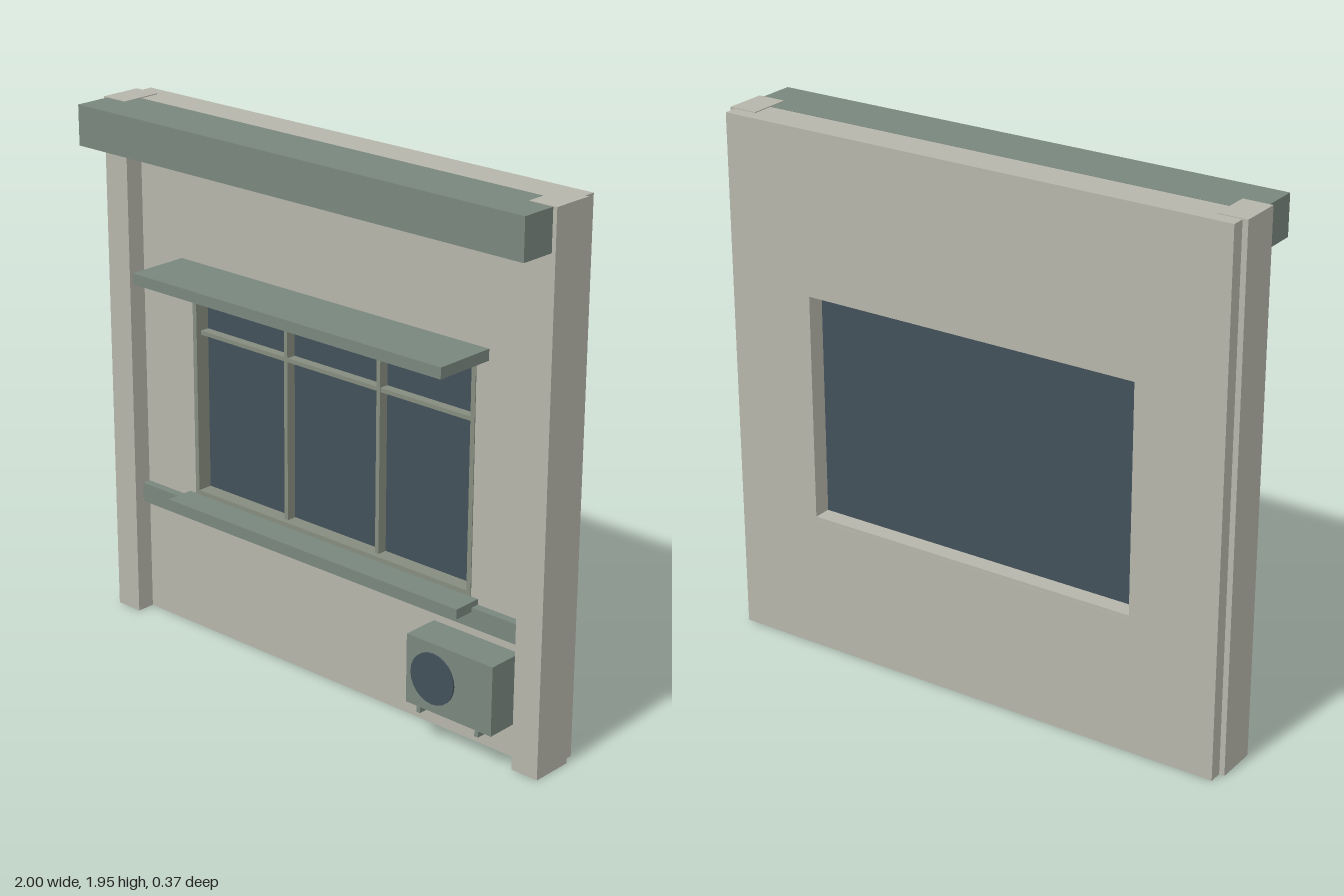
import * as THREE from 'three';

const material = (name, color) => {
  const m = new THREE.MeshStandardMaterial({ color });
  m.name = name;
  return m;
};

export function createModel() {
  const model = new THREE.Group();
  model.name = 'windowWallSection';
  const plaster = material('warm grey plaster', 0xb5b5aa);
  const trim = material('grey green trim', 0x78867d);
  const frame = material('pale frame', 0x858c7e);
  const dark = material('dark glass', 0x43505a);

  // Box given by its limits on each axis
  const box = (name, mat, [x0, x1], [y0, y1], [z0, z1], parent = model) => {
    const mesh = new THREE.Mesh(new THREE.BoxGeometry(x1 - x0, y1 - y0, z1 - z0), mat);
    mesh.position.set((x0 + x1) / 2, (y0 + y1) / 2, (z0 + z1) / 2);
    mesh.name = name;
    parent.add(mesh);
    return mesh;
  };

  // Wall panels around the window opening
  const wallZ = [-0.187, -0.05];
  box('lowerWall', plaster, [-0.98, 0.98], [0, 0.505], wallZ);
  box('upperWall', plaster, [-0.98, 0.98], [1.355, 1.95], wallZ);
  box('rightWall', plaster, [-0.98, -0.647], [0.505, 1.355], wallZ);
  box('leftWall', plaster, [0.647, 0.98], [0.505, 1.355], wallZ);

  // Side pillars
  box('rightPillar', plaster, [-1, -0.893], [0, 1.953], [-0.137, 0.02]);
  box('leftPillar', plaster, [0.893, 1], [0, 1.953], [-0.137, 0.02]);

  // Horizontal trim
  box('cornice', trim, [-0.985, 0.985], [1.805, 1.951], [-0.055, 0.155]);
  box('ledge', trim, [-0.893, 0.893], [0.435, 0.508], [-0.06, -0.018]);
  box('windowHood', trim, [-0.697, 0.697], [1.37, 1.41], [-0.055, 0.187]);
  box('windowSill', trim, [-0.677, 0.677], [0.492, 0.528], [-0.06, 0.06]);
  box('sillBase', plaster, [-0.647, 0.647], [0.5, 0.518], [-0.186, -0.06]);

  // Window: glass, surround, mullions and transom
  const win = new THREE.Group();
  win.name = 'window';
  model.add(win);
  const frameZ = [-0.115, -0.048];
  box('glass', dark, [-0.646, 0.646], [0.518, 1.355], [-0.12, -0.105], win);
  for (const s of [-1, 1]) {
    box('frameSide', frame, s < 0 ? [-0.646, -0.628] : [0.628, 0.646], [0.52, 1.354], frameZ, win);
    box('mullion', frame, [s * 0.213 - 0.008, s * 0.213 + 0.008], [0.54, 1.34], [-0.11, -0.068], win);
  }
  box('frameTop', frame, [-0.628, 0.628], [1.34, 1.354], frameZ, win);
  box('frameBottom', frame, [-0.628, 0.628], [0.52, 0.545], frameZ, win);
  box('transom', frame, [-0.628, 0.628], [1.136, 1.151], [-0.11, -0.07], win);

  // Air conditioner with fan disc and brackets
  const unit = new THREE.Group();
  unit.name = 'airConditioner';
  model.add(unit);
  box('casing', trim, [0.506, 0.873], [0.15, 0.402], [-0.03, 0.109], unit);
  for (const x of [0.564, 0.815]) {
    box('bracket', trim, [x - 0.008, x + 0.008], [0.13, 0.15], [-0.055, 0.113], unit);
  }
  const fan = new THREE.Mesh(new THREE.CylinderGeometry(0.093, 0.093, 0.008, 24), dark);
  fan.name = 'fanDisc';
  fan.rotation.x = Math.PI / 2;
  fan.position.set(0.622, 0.275, 0.111);
  unit.add(fan);

  return model;
}
